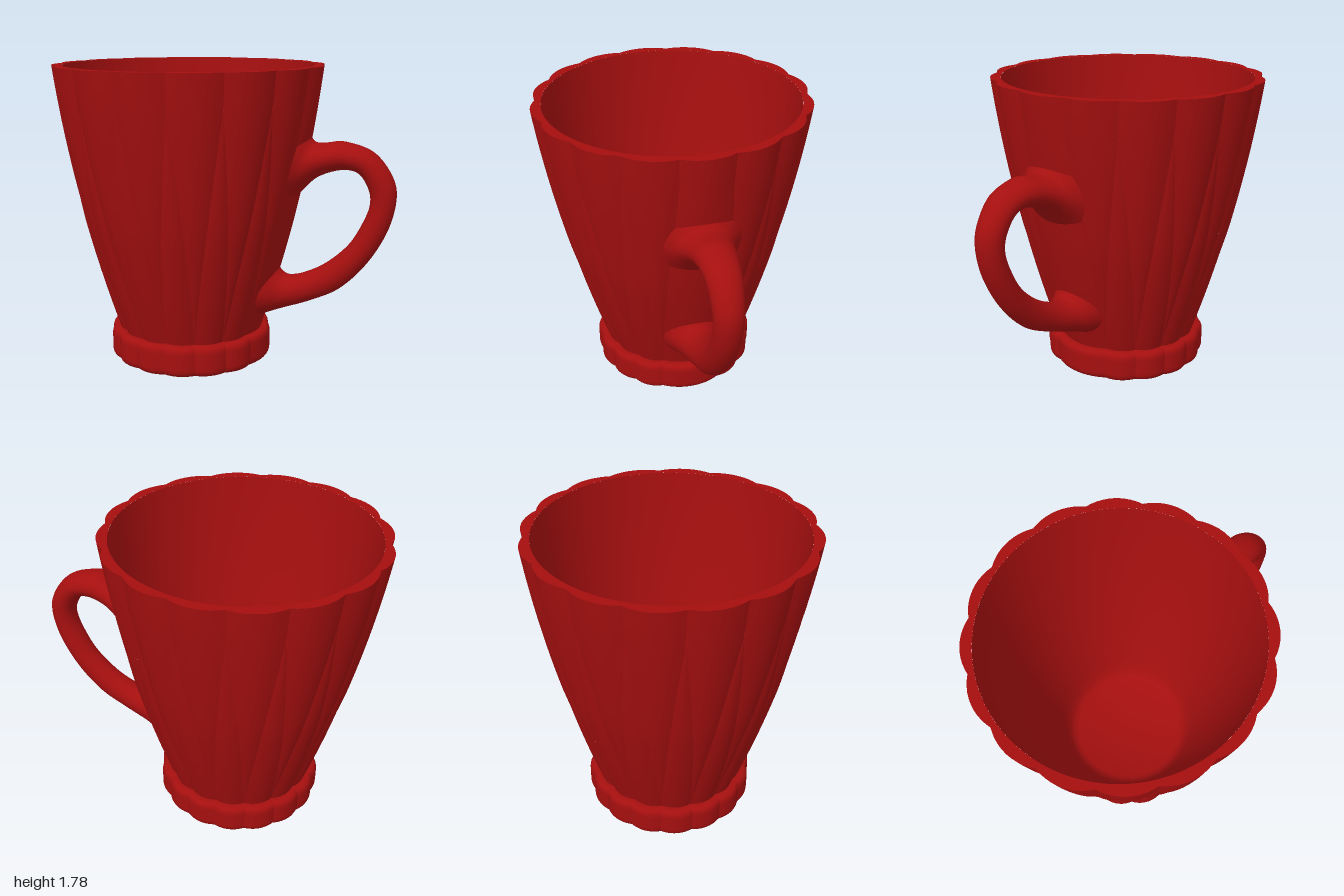
import * as THREE from 'three';
import { mergeVertices, mergeGeometries, toCreasedNormals } from 'three/addons/utils/BufferGeometryUtils.js';

const CX = -0.215, TOP = 1.78, STEP = Math.PI / 8, HALF = STEP / 2;
const lerp = THREE.MathUtils.lerp;

// outer silhouette radius of the cup at height y
const radius = (y) => 0.435 + 0.2756 * (y - 0.22) - 0.0658 * (y - 0.22) * (y - 1);
// 0 at the bottom of the zigzag creases, 1 at their top
const zig = (y) => THREE.MathUtils.clamp((y - 0.22) / 1.36, 0, 1);

// smooth sheet of points f(u, v), u and v in 0..1
function sheet(rows, cols, f) {
  const pos = [], index = [];
  for (let i = 0; i <= rows; i++)
    for (let j = 0; j <= cols; j++) pos.push(...f(i / rows, j / cols));
  for (let i = 0; i < rows; i++)
    for (let j = 0; j < cols; j++) {
      const a = i * (cols + 1) + j, b = a + cols + 1;
      index.push(a, b, a + 1, b, b + 1, a + 1);
    }
  const g = new THREE.BufferGeometry();
  g.setAttribute('position', new THREE.Float32BufferAttribute(pos, 3));
  g.setIndex(index);
  const merged = mergeVertices(g, 1e-5);
  merged.computeVertexNormals();
  return merged;
}

const polar = (r, a, y) => [CX + r * Math.cos(a), y, r * Math.sin(a)];

// radius across a flute: v runs from crease to crease, f is its share of the width
function fluteRadius(y, v, f) {
  const t = zig(y), s = 2 * v - 1;
  return radius(y) * (1 - 0.035 * Math.max(t, 1 - t) + 0.035 * f * (1 - s * s));
}

// one flute of the wall; half(t) is its half angle, share(t) its bulge
function flute(center, y0, y1, half, share) {
  return sheet(28, 10, (u, v) => {
    const y = lerp(y0, y1, u), t = zig(y);
    return polar(fluteRadius(y, v, share(t)), center + half(t) * (2 * v - 1), y);
  });
}

function wallGeometry() {
  const parts = [];
  // wide flute behind the handle
  parts.push(flute(0, 0.12, TOP, (t) => HALF * (2 - t), (t) => Math.max(t, 1 - t)));
  // flutes narrowing downward
  for (let k = 1; k < 16; k++)
    parts.push(flute(k * STEP, 0.22, TOP, (t) => HALF * t, (t) => t));
  // flutes narrowing upward, between the others
  for (let k = 1; k < 15; k++)
    parts.push(flute((k + 0.5) * STEP, 0.12, 1.58, (t) => HALF * (1 - t), (t) => 1 - t));
  return mergeGeometries(parts);
}

// flat lip from the scalloped edge to the round opening
function rimGeometry() {
  const parts = [];
  for (let k = 0; k < 16; k++)
    parts.push(sheet(1, 10, (u, v) =>
      polar(lerp(fluteRadius(TOP, v, 1), 0.725, u), k * STEP + HALF * (2 * v - 1), TOP)));
  return mergeGeometries(parts);
}

// rounded scalloped band around the base
function bandGeometry() {
  const shape = new THREE.Shape();
  shape.moveTo(0.34, 0.037);
  shape.lineTo(0.435, 0.037);
  shape.quadraticCurveTo(0.487, 0.037, 0.487, 0.09);
  shape.lineTo(0.487, 0.175);
  shape.quadraticCurveTo(0.487, 0.222, 0.45, 0.222);
  shape.lineTo(0.38, 0.222);
  const profile = shape.getPoints(8);
  const lobe = (center, half) => sheet(profile.length - 1, 12, (u, v) => {
    const p = profile[Math.round(u * (profile.length - 1))], s = 2 * v - 1;
    return polar(p.x * (1 - 0.035 * s * s), center + half * s, p.y);
  });
  const parts = [lobe(0, STEP)];
  for (let k = 1; k < 15; k++) parts.push(lobe((k + 0.5) * STEP, HALF));
  return mergeGeometries(parts);
}

function lathe(points) {
  const g = new THREE.LatheGeometry(points.map(([r, y]) => new THREE.Vector2(r, y)), 96);
  g.translate(CX, 0, 0);
  return toCreasedNormals(g, 0.6);
}

// handle stations: outer x, y, inner x, y, half width in z, wrap around the wall
const STATIONS = [
  [0.495, 1.40, 0.42, 1.02, 0.24, 0.75],
  [0.535, 1.36, 0.455, 1.065, 0.18, 0.5],
  [0.60, 1.36, 0.55, 1.16, 0.135, 0.1],
  [0.70, 1.37, 0.68, 1.21, 0.11, 0],
  [0.86, 1.32, 0.78, 1.20, 0.095, 0],
  [0.965, 1.20, 0.84, 1.12, 0.085, 0],
  [1.0, 1.07, 0.855, 1.03, 0.08, 0],
  [0.96, 0.88, 0.82, 0.92, 0.08, 0],
  [0.85, 0.68, 0.74, 0.78, 0.08, 0],
  [0.70, 0.52, 0.61, 0.66, 0.08, 0],
  [0.53, 0.43, 0.48, 0.59, 0.085, 0],
  [0.37, 0.37, 0.39, 0.57, 0.11, 0.3],
  [0.28, 0.335, 0.345, 0.59, 0.15, 0.6],
  [0.225, 0.31, 0.325, 0.62, 0.18, 1],
];

function handleGeometry() {
  const curve = (a, b) => new THREE.CatmullRomCurve3(
    STATIONS.map((s) => new THREE.Vector3(s[a], s[a + 1], s[b])), false, 'catmullrom', 0.5);
  const outer = curve(0, 4), inner = curve(2, 5);
  return sheet(91, 28, (u, v) => {
    const o = outer.getPoint(u), i = inner.getPoint(u), a = v * Math.PI * 2;
    const k = (1 + Math.cos(a)) / 2, z = -o.z * Math.sin(a);
    return [lerp(i.x, o.x, k) - i.z * z * z, lerp(i.y, o.y, k), z];
  });
}

export function createModel() {
  const group = new THREE.Group();
  const material = new THREE.MeshStandardMaterial({ color: 0xa50f0f });
  const add = (name, geometry) => {
    const mesh = new THREE.Mesh(geometry, material);
    mesh.name = name;
    group.add(mesh);
  };

  add('flutedWall', wallGeometry());
  add('rim', rimGeometry());
  add('baseBand', bandGeometry());

  // inside of the cup, from the lip down to the floor
  const inside = [];
  for (let i = 0; i <= 20; i++) {
    const y = lerp(TOP, 0.3, i / 20);
    inside.push([radius(y) - 0.06, y]);
  }
  inside.push([0.375, 0.24], [0.355, 0.215], [0.325, 0.2], [0, 0.2]);
  add('inside', lathe(inside));

  // foot with a recessed underside
  add('foot', lathe([[0, 0.08], [0.22, 0.08], [0.25, 0.07], [0.275, 0.04], [0.295, 0.0],
    [0.34, 0.0], [0.365, 0.025], [0.37, 0.05]]));

  add('handle', handleGeometry());
  return group;
}
